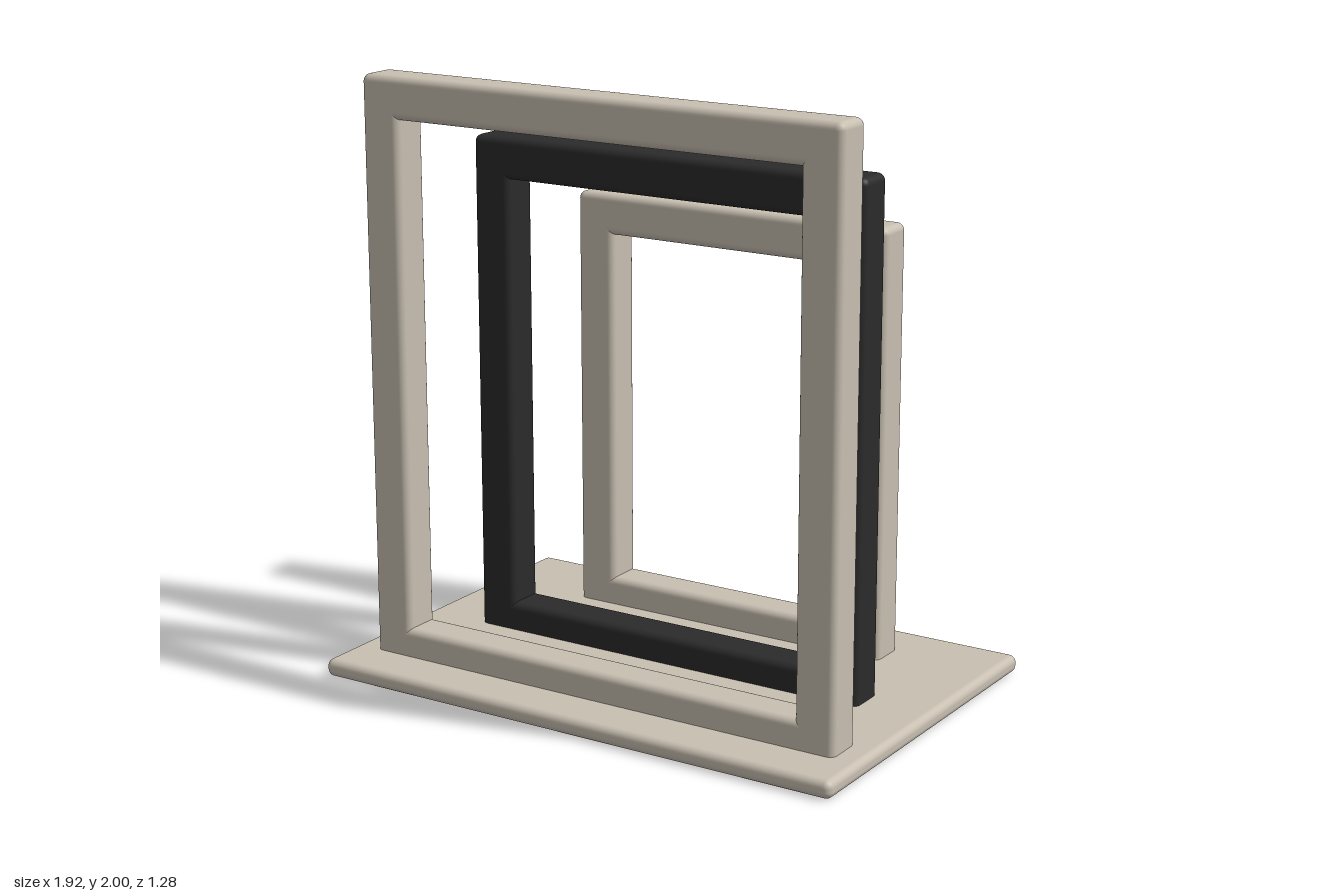
import * as THREE from 'three';
import { RoundedBoxGeometry } from 'three/addons/geometries/RoundedBoxGeometry.js';

const BAR = 0.14; // square section of every frame bar
const FOOT = 0.015; // frames are sunk into the base plate

function roundedBox(name, size, position, radius, material) {
  const mesh = new THREE.Mesh(new RoundedBoxGeometry(...size, 4, radius), material);
  mesh.name = name;
  mesh.position.set(...position);
  return mesh;
}

// Upright rectangular frame: two posts and two rails that meet at the corners
function frame(name, halfWidth, top, z, material) {
  const group = new THREE.Group();
  group.name = name;
  group.position.z = z;
  const height = top - FOOT;
  for (const [side, s] of [['left', 1], ['right', -1]]) {
    group.add(roundedBox(`${side}Post`, [BAR, height, BAR],
      [s * (halfWidth - BAR / 2), FOOT + height / 2, 0], 0.025, material));
  }
  for (const [level, y] of [['top', top - BAR / 2], ['bottom', FOOT + BAR / 2]]) {
    group.add(roundedBox(`${level}Rail`, [halfWidth * 2, BAR, BAR], [0, y, 0], 0.025, material));
  }
  return group;
}

export function createModel() {
  const stone = new THREE.MeshStandardMaterial({ color: 0xc8bfb1 });
  const black = new THREE.MeshStandardMaterial({ color: 0x2b2b2b });

  const model = new THREE.Group();
  model.name = 'nestedFrames';

  // Base plate
  model.add(roundedBox('basePlate', [1.92, 0.06, 1.28], [0, 0.03, 0], 0.025, stone));

  // Three frames, shrinking towards the back
  model.add(
    frame('frontFrame', 0.875, 2.0, 0.4, stone),
    frame('middleFrame', 0.735, 1.76, 0, black),
    frame('backFrame', 0.595, 1.52, -0.4, stone),
  );
  return model;
}
